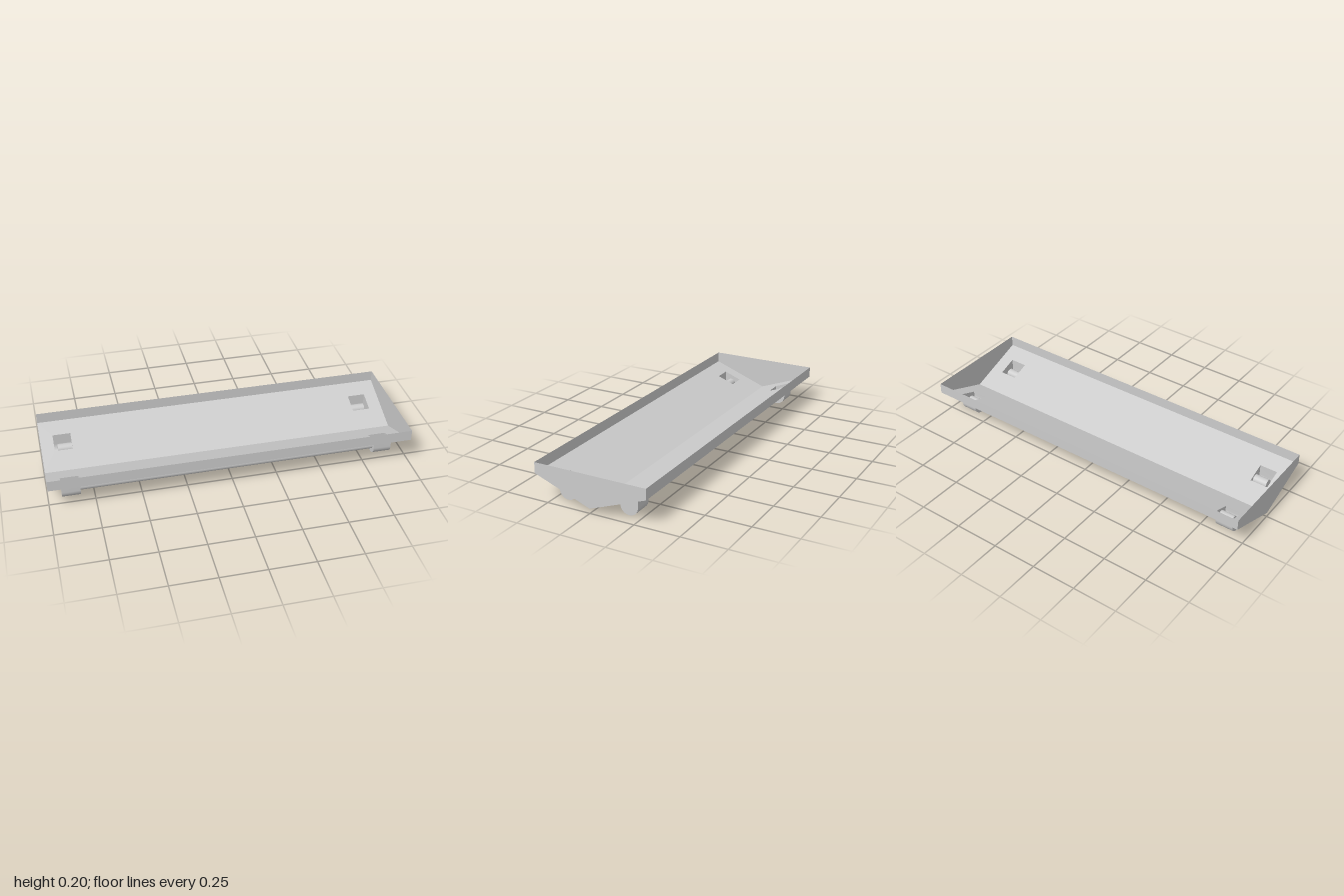
import * as THREE from 'three';

const material = new THREE.MeshStandardMaterial({ color: 0xcccccc, side: THREE.DoubleSide });

const RIM_Z = 0.32, RIM_TOP = 0.205, KEEL_Y = 0.025, SLOPE = 0.375;
const SOCKET_IN = 0.825, SOCKET_OUT = 0.925, LAMP_Z = 0.178, LAMP_Y = 0.05, SOCKET_R = 0.05;
const panelY = (z) => KEEL_Y + SLOPE * Math.abs(z);

function addMesh(parent, name, geometry) {
  const mesh = new THREE.Mesh(geometry, material);
  mesh.name = name;
  parent.add(mesh);
  return mesh;
}

// Flat outline whose 2D points are placed in space by a rule
function placedShape(points, place, holes = []) {
  const shape = new THREE.Shape(points.map(([a, b]) => new THREE.Vector2(a, b)));
  for (const h of holes) shape.holes.push(new THREE.Path(h.map(([a, b]) => new THREE.Vector2(a, b))));
  const geometry = new THREE.ShapeGeometry(shape);
  const p = geometry.attributes.position;
  for (let i = 0; i < p.count; i++) p.setXYZ(i, ...place(p.getX(i), p.getY(i)));
  geometry.computeVertexNormals();
  return geometry;
}

const rect = (a0, a1, b0, b1) => [[a0, b0], [a1, b0], [a1, b1], [a0, b1]];

// U-shaped socket section as [z, y]: slanted open top, round bottom
function socketSection() {
  const points = [[LAMP_Z - SOCKET_R, panelY(LAMP_Z - SOCKET_R)]];
  for (let i = 0; i <= 24; i++) {
    const t = Math.PI + (Math.PI * i) / 24;
    points.push([LAMP_Z + SOCKET_R * Math.cos(t), LAMP_Y + SOCKET_R * Math.sin(t)]);
  }
  points.push([LAMP_Z + SOCKET_R, panelY(LAMP_Z + SOCKET_R)]);
  return points;
}

// Hollow socket: a wall bent along the section plus two end plates
function addSocket(parent, sx, sz) {
  const socket = new THREE.Group();
  socket.name = 'lampSocket';
  const section = socketSection().map(([z, y]) => [z * sz, y]);
  const wall = new THREE.PlaneGeometry(1, 1, section.length - 1, 1);
  const p = wall.attributes.position;
  for (let i = 0; i < p.count; i++) {
    const [z, y] = section[i % section.length];
    p.setXYZ(i, sx * (i < section.length ? SOCKET_IN : SOCKET_OUT), y, z);
  }
  // Keep the winding the same on every mirrored copy
  if (sx * sz < 0) wall.setIndex([...wall.index.array].reverse());
  wall.computeVertexNormals();
  addMesh(socket, 'socketWall', wall);
  for (const x of [SOCKET_IN, SOCKET_OUT]) {
    addMesh(socket, 'socketEnd', placedShape(section, (z, y) => [sx * x, y, z]));
  }
  parent.add(socket);
}

export function createModel() {
  const group = new THREE.Group();
  group.name = 'lightFixture';

  for (const sz of [1, -1]) {
    // Sloping half of the tray, opened above each socket
    const z0 = sz * (LAMP_Z - SOCKET_R), z1 = sz * (LAMP_Z + SOCKET_R);
    const holes = [1, -1].map((sx) => rect(sx * SOCKET_IN, sx * SOCKET_OUT, z0, z1));
    addMesh(group, 'reflectorPanel',
      placedShape(rect(-1, 1, 0, sz * RIM_Z), (x, z) => [x, panelY(z), z], holes));

    // Upright long rim
    addMesh(group, 'sideRim',
      placedShape(rect(-1, 1, panelY(RIM_Z), RIM_TOP), (x, y) => [x, y, sz * RIM_Z]));

    // Lamp tube running between its sockets
    const tube = addMesh(group, 'lampTube', new THREE.CylinderGeometry(0.027, 0.027, 1.81, 32));
    tube.rotation.z = Math.PI / 2;
    tube.position.set(0, LAMP_Y, sz * LAMP_Z);

    for (const sx of [1, -1]) addSocket(group, sx, sz);
  }

  // Pentagonal end plates
  const end = [[0, KEEL_Y], [RIM_Z, panelY(RIM_Z)], [RIM_Z, RIM_TOP], [-RIM_Z, RIM_TOP], [-RIM_Z, panelY(RIM_Z)]];
  for (const sx of [1, -1]) addMesh(group, 'endPlate', placedShape(end, (z, y) => [sx, y, z]));

  return group;
}
